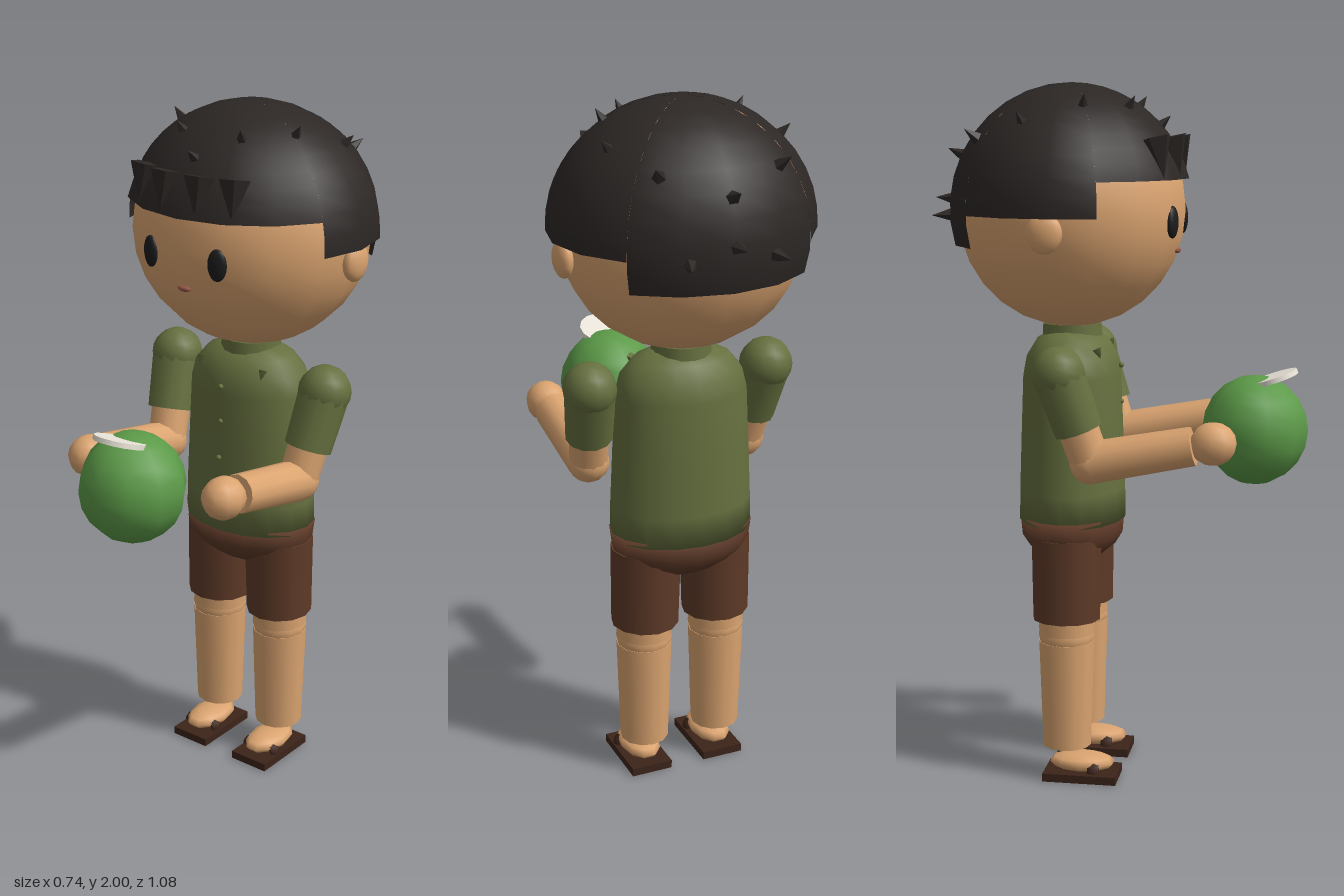
import * as THREE from 'three';

const material = (color, side = THREE.FrontSide) => {
  const m = new THREE.MeshStandardMaterial({ side });
  m.color.set(color);
  return m;
};
const skin = material(0xdba470);
const shirt = material(0x66703f);
const shorts = material(0x5e3a28);
const hair = material(0x2c2725, THREE.DoubleSide);
const spikeHair = material(0x2c2725);
spikeHair.flatShading = true;
const dark = material(0x1c1c1c);
const mouthRed = material(0x9a5848);
const leather = material(0x3c241a);
const fruit = material(0x5c9a48);
const flesh = material(0xebe6da);
const D = Math.PI / 180;
const UP = new THREE.Vector3(0, 1, 0);
const V = (x, y, z) => new THREE.Vector3(x, y, z);

export function createModel() {
  const root = new THREE.Group();

  const add = (name, geometry, mat, x = 0, y = 0, z = 0, parent = root) => {
    const mesh = new THREE.Mesh(geometry, mat);
    mesh.name = name;
    mesh.position.set(x, y, z);
    parent.add(mesh);
    return mesh;
  };
  const ball = (name, mat, p, r, parent = root, w = 12, h = 10) => {
    const mesh = add(name, new THREE.SphereGeometry(1, w, h), mat, ...p, parent);
    mesh.scale.set(...r);
    return mesh;
  };
  // Tapered limb from point a to point b
  const limb = (name, mat, a, b, ra, rb, parent, sides = 12) => {
    const dir = b.clone().sub(a);
    const mesh = add(name, new THREE.CylinderGeometry(rb, ra, dir.length(), sides), mat, 0, 0, 0, parent);
    mesh.position.copy(a).add(b).multiplyScalar(0.5);
    mesh.quaternion.setFromUnitVectors(UP, dir.normalize());
    return mesh;
  };
  // Lathe squashed to an oval section; points are [radius, height]
  const oval = (name, mat, points, depth, parent = root) => {
    const profile = points.map(([r, y]) => new THREE.Vector2(r, y));
    const mesh = add(name, new THREE.LatheGeometry(profile, 16), mat, 0, 0, -0.14, parent);
    mesh.scale.z = depth;
    return mesh;
  };

  // Head and face
  const head = new THREE.Group();
  head.name = 'head';
  root.add(head);
  ball('skull', skin, [0, 1.65, -0.14], [0.345, 0.335, 0.325], head, 16, 14);
  ball('mouth', mouthRed, [0, 1.535, 0.16], [0.023, 0.009, 0.012], head, 10, 6);
  for (const s of [1, -1]) {
    const eye = ball('eye', dark, [s * 0.115, 1.62, 0.163], [0.028, 0.045, 0.014], head);
    eye.rotation.y = s * 0.3;
    ball('ear', skin, [s * 0.345, 1.6, -0.15], [0.026, 0.055, 0.05], head);
  }

  // Hair cap in sectors: short in front, longer at the sides, longest behind
  const sectors = [['frontHair', 22.5, 135, 1.325], ['leftHair', 157.5, 67.5, 1.6],
    ['backHair', 225, 90, 1.86], ['rightHair', -45, 67.5, 1.6]];
  for (const [name, start, sweep, drop] of sectors) {
    const g = new THREE.SphereGeometry(1, sweep / 22.5, 10, start * D, sweep * D, 0, drop);
    add(name, g, hair, 0, 1.65, -0.14, head).scale.set(0.37, 0.35, 0.345);
  }

  // Spikes stand on the cap, given as unit direction components x, y, z
  const spike = (x, y, z, r, h) => {
    const n = V(x, y, z).normalize();
    const mesh = add('hairSpike', new THREE.ConeGeometry(r, h, 5), spikeHair, 0, 0, 0, head);
    mesh.position.set(n.x * 0.37, 1.65 + n.y * 0.35, -0.14 + n.z * 0.345).addScaledVector(n, h * 0.2);
    mesh.quaternion.setFromUnitVectors(UP, n);
  };
  spike(0, 0.67, 0.74, 0.02, 0.05);
  spike(0, 0.42, -0.91, 0.026, 0.07);
  spike(0, 0.07, -1, 0.026, 0.075);
  for (const s of [1, -1]) {
    spike(s * 0.27, 0.81, 0.52, 0.019, 0.05);
    spike(s * 0.53, 0.82, 0.2, 0.019, 0.05);
    spike(s * 0.66, 0.7, -0.26, 0.02, 0.05);
    spike(s * 0.46, 0.57, -0.68, 0.024, 0.06);
    spike(s * 0.33, -0.04, -0.94, 0.024, 0.07);
  }

  // Fringe tufts pointing down
  for (const [x, z] of [[-0.165, 0.135], [-0.066, 0.165], [0.05, 0.165], [0.15, 0.14]]) {
    const tuft = add('fringeTuft', new THREE.ConeGeometry(0.044, 0.11, 5), spikeHair, x, 1.795, z, head);
    tuft.rotation.set(Math.PI - 0.22, 0, -x * 0.5);
  }

  // Torso, collar and waist
  oval('shirt', shirt, [[0, 0.76], [0.21, 0.76], [0.208, 0.85], [0.2, 1.02], [0.192, 1.18],
    [0.178, 1.235], [0.14, 1.28], [0.085, 1.305], [0, 1.31]], 0.73);
  add('neck', new THREE.CylinderGeometry(0.085, 0.09, 0.08, 14), shirt, 0, 1.285, -0.14);
  oval('shortsWaist', shorts, [[0, 0.65], [0.125, 0.65], [0.175, 0.68], [0.205, 0.715],
    [0.213, 0.775], [0, 0.776]], 0.71);
  for (const y of [0.885, 0.99, 1.1, 1.205]) {
    ball('button', shirt, [0, y, y < 1 ? 0.012 : 0.002], [0.008, 0.008, 0.008], root, 8, 6);
  }

  // Arms and legs, mirrored
  for (const s of [1, -1]) {
    const point = add('collarPoint', new THREE.ConeGeometry(0.015, 0.03, 4), shirt, s * 0.11, 1.25, -0.045);
    point.rotation.x = Math.PI - 0.4;

    const arm = new THREE.Group();
    arm.name = s > 0 ? 'leftArm' : 'rightArm';
    root.add(arm);
    const shoulder = V(s * 0.268, 1.215, -0.13);
    const elbow = V(s * 0.242, 0.965, -0.045);
    const wrist = V(s * 0.242, 1.02, 0.24);
    ball('shoulder', shirt, shoulder.toArray(), [0.076, 0.076, 0.076], arm);
    limb('sleeve', shirt, shoulder, shoulder.clone().lerp(elbow, 0.63), 0.073, 0.068, arm);
    limb('upperArm', skin, shoulder, elbow, 0.06, 0.056, arm);
    ball('elbow', skin, elbow.toArray(), [0.06, 0.06, 0.06], arm);
    limb('forearm', skin, elbow, wrist, 0.06, 0.055, arm);
    ball('hand', skin, [s * 0.242, 1.028, 0.295], [0.06, 0.06, 0.066], arm, 10, 8);

    const leg = new THREE.Group();
    leg.name = s > 0 ? 'leftLeg' : 'rightLeg';
    root.add(leg);
    limb('shortsLeg', shorts, V(s * 0.112, 0.48, -0.14), V(s * 0.108, 0.72, -0.14), 0.098, 0.102, leg);
    limb('thigh', skin, V(s * 0.115, 0.42, -0.14), V(s * 0.112, 0.6, -0.14), 0.08, 0.086, leg);
    ball('knee', skin, [s * 0.115, 0.43, -0.14], [0.082, 0.07, 0.082], leg);
    limb('shin', skin, V(s * 0.115, 0.1, -0.14), V(s * 0.115, 0.415, -0.14), 0.071, 0.081, leg);

    // Foot and sandal
    ball('foot', skin, [s * 0.115, 0.048, -0.095], [0.058, 0.028, 0.097], leg, 10, 6);
    add('sandalSole', new THREE.BoxGeometry(0.125, 0.024, 0.215), leather, s * 0.115, 0.012, -0.095, leg);
    const strap = new THREE.CylinderGeometry(0.06, 0.06, 0.042, 12, 1, true, 0, Math.PI);
    strap.rotateZ(Math.PI / 2).rotateX(Math.PI / 2).rotateY(Math.PI / 2);
    const band = add('sandalStrap', new THREE.TorusGeometry(0.052, 0.012, 6, 12, Math.PI), leather,
      s * 0.115, 0.03, -0.055, leg);
    band.scale.set(1, 0.6, 1.6);
    strap.dispose();
  }

  // Green coconut with its cut lid
  const coconut = ball('coconut', fruit, [0, 1.028, 0.388], [0.151, 0.157, 0.151], root, 10, 10);
  coconut.rotation.y = Math.PI / 2;
  const lid = add('coconutOpening', new THREE.CylinderGeometry(0.073, 0.073, 0.014, 14), flesh, 0, 1.176, 0.437);
  lid.rotation.x = -0.33;

  return root;
}
